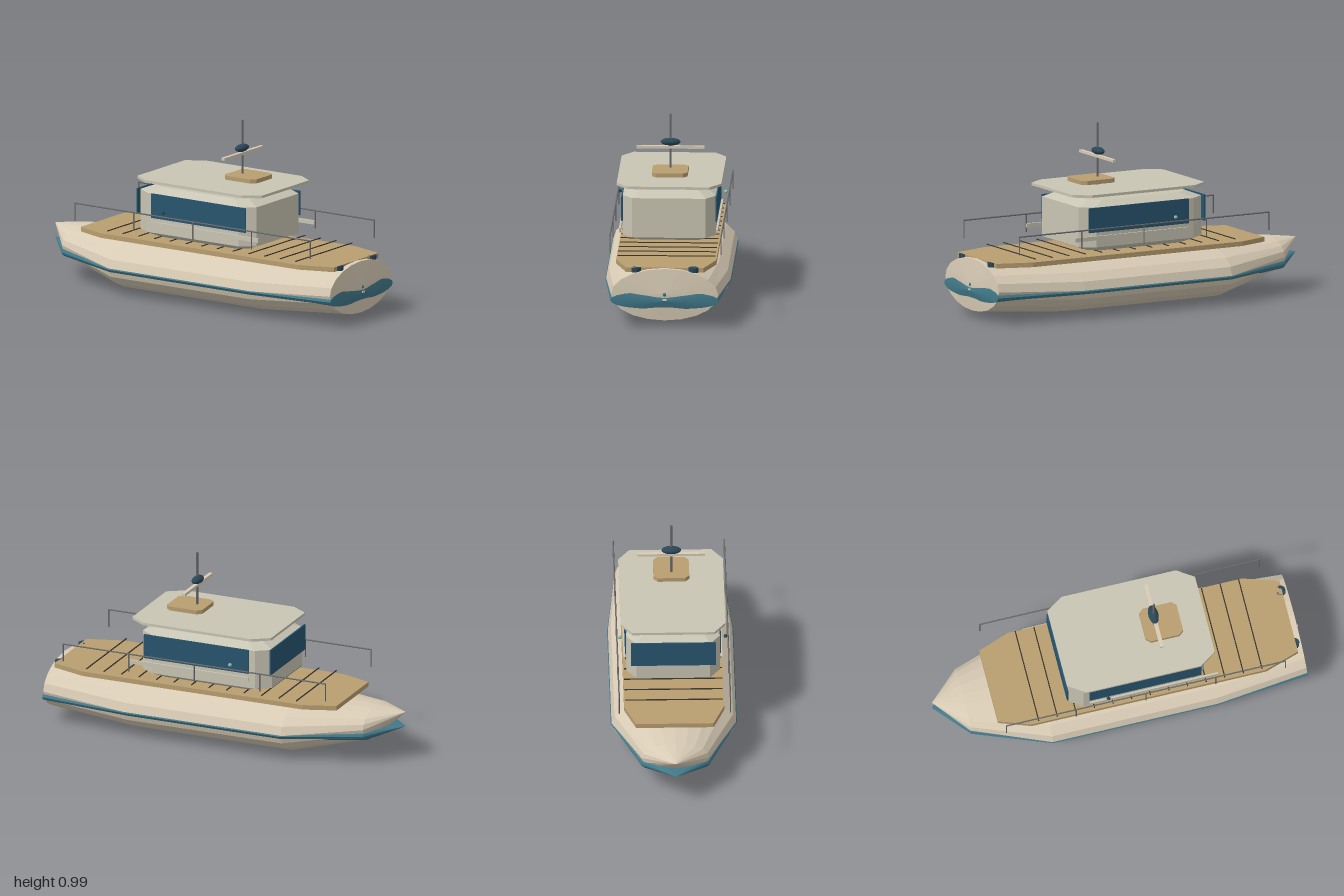
import * as THREE from 'three';

const mat = (color) => new THREE.MeshStandardMaterial({ color, flatShading: true });
const cream = mat(0xd8cbb5), tan = mat(0xb89e70), shell = mat(0xc9c5b4), glass = mat(0x28556f);
const teal = mat(0x41798a), navy = mat(0x2a4656), metal = mat(0x68696b), mint = mat(0x86c8b8), seam = mat(0x3a342c);
const V = (x, y, z) => new THREE.Vector3(x, y, z);

export function createModel() {
  const boat = new THREE.Group();
  boat.name = 'boat';

  const add = (name, geometry, material, x = 0, y = 0, z = 0) => {
    const mesh = new THREE.Mesh(geometry, material);
    mesh.name = name;
    mesh.position.set(x, y, z);
    boat.add(mesh);
    return mesh;
  };
  const box = (name, w, h, d, material, x, y, z) => add(name, new THREE.BoxGeometry(w, h, d), material, x, y, z);
  const rod = (name, r, len, x, y, z) => add(name, new THREE.CylinderGeometry(r, r, len, 8), metal, x, y, z);

  // Skin over closed rings, with a fan to a point at each end
  const loft = (rings, start, end) => {
    const p = [];
    const tri = (...corners) => corners.forEach((c) => p.push(c.x, c.y, c.z));
    const n = rings[0].length, last = rings[rings.length - 1];
    for (let j = 0; j < n; j++) {
      const k = (j + 1) % n;
      for (let i = 0; i < rings.length - 1; i++) {
        const a = rings[i], b = rings[i + 1];
        tri(a[j], a[k], b[j]);
        tri(a[k], b[k], b[j]);
      }
      tri(start, rings[0][k], rings[0][j]);
      tri(end, last[j], last[k]);
    }
    const g = new THREE.BufferGeometry();
    g.setAttribute('position', new THREE.Float32BufferAttribute(p, 3));
    g.computeVertexNormals();
    return g;
  };

  // Rounded section across the boat; a power below 1 makes it boxier
  const section = (z, rx, cy, ry, power = 1) => Array.from({ length: 20 }, (_, i) => {
    const a = (i / 20) * Math.PI * 2, c = Math.cos(a);
    return V(Math.sign(c) * Math.pow(Math.abs(c), power) * rx, cy + Math.sin(a) * ry, z);
  });

  // Plan outline with cut corners, as (x, -z)
  const outline = (hx, zBack, zFront, cx, cBack, cFront) => [
    [hx, cFront - zFront], [hx, -zBack - cBack], [hx - cx, -zBack], [cx - hx, -zBack],
    [-hx, -zBack - cBack], [-hx, cFront - zFront], [cx - hx, -zFront], [hx - cx, -zFront],
  ].map(([x, s]) => new THREE.Vector2(x, s));
  const plate = (name, points, y, h, material) => {
    const g = new THREE.ExtrudeGeometry(new THREE.Shape(points), { depth: h, bevelEnabled: false });
    add(name, g.rotateX(-Math.PI / 2), material, 0, y, 0);
  };

  // Hull and the stripe around its waist
  add('hull', loft([
    section(-0.83, 0.178, 0.2, 0.09), section(-0.42, 0.331, 0.157, 0.152),
    section(0.48, 0.331, 0.157, 0.152), section(0.98, 0.285, 0.185, 0.14),
  ], V(0, 0.27, -1), V(0, 0.185, 0.994)), cream);
  add('stripe', loft([
    section(-0.83, 0.183, 0.163, 0.04, 0.6), section(-0.42, 0.335, 0.152, 0.045, 0.6),
    section(0.48, 0.335, 0.152, 0.045, 0.6), section(0.985, 0.288, 0.154, 0.045, 0.6),
  ], V(0, 0.19, -1), V(0, 0.154, 0.997)), teal);

  // Deck and seams
  plate('deck', outline(0.266, -0.69, 0.95, 0.06, 0.17, 0.19), 0.3, 0.025, tan);
  for (let i = 0; i < 13; i++) box('deckSeam', 0.52, 0.004, 0.006, seam, 0, 0.341, -0.48 + i * 0.1017);

  // Cabin with sloped top and bottom edges
  const plan = outline(0.248, -0.31, 0.44, 0.053, 0.077, 0.077);
  const level = (y, s) => plan.map((p) => V(p.x * s, y, 0.065 - (p.y + 0.065) * s));
  add('cabin', loft([level(0.34, 0.8), level(0.368, 1), level(0.582, 1), level(0.611, 0.8)],
    V(0, 0.34, 0.065), V(0, 0.611, 0.065)), shell);
  box('backWindow', 0.45, 0.14, 0.008, glass, 0, 0.52, -0.313);

  // Roof, hatch and mast
  plate('roof', outline(0.278, -0.315, 0.492, 0.06, 0.09, 0.09), 0.643, 0.014, shell);
  plate('roofHatch', outline(0.095, 0.15, 0.355, 0.022, 0.025, 0.025), 0.677, 0.022, tan);
  rod('mast', 0.006, 0.335, 0, 0.8225, 0.213);
  box('antennaBar', 0.36, 0.014, 0.02, cream, 0, 0.81, 0.213);
  add('radarDome', new THREE.SphereGeometry(1, 20, 12), navy, 0, 0.838, 0.21).scale.set(0.053, 0.02, 0.027);

  // Fittings on both sides
  for (const side of [-1, 1]) {
    box('sideWindow', 0.008, 0.133, 0.61, glass, side * 0.25, 0.516, 0.105);
    box('sideTrim', 0.01, 0.022, 0.7, shell, side * 0.258, 0.42, 0.15);
    add('sideLight', new THREE.SphereGeometry(0.01, 12, 8), side > 0 ? mint : navy, side * 0.281, 0.495, -0.104);
    add('sternFender', new THREE.CylinderGeometry(0.028, 0.028, 0.024, 12), navy, side * 0.152, 0.313, 0.942);
    rod('handrail', 0.004, 1.53, side * 0.295, 0.475, 0.0975).rotation.x = Math.PI / 2;
    for (let i = 0; i < 5; i++) rod('railPost', 0.0035, 0.097, side * 0.295, 0.426, 0.86 - i * 0.38125);
  }

  // Stern light and plate
  add('sternLight', new THREE.SphereGeometry(0.011, 12, 8), teal, 0, 0.188, 0.988);
  box('sternPlate', 0.02, 0.009, 0.006, cream, 0, 0.16, 0.996);

  return boat;
}
